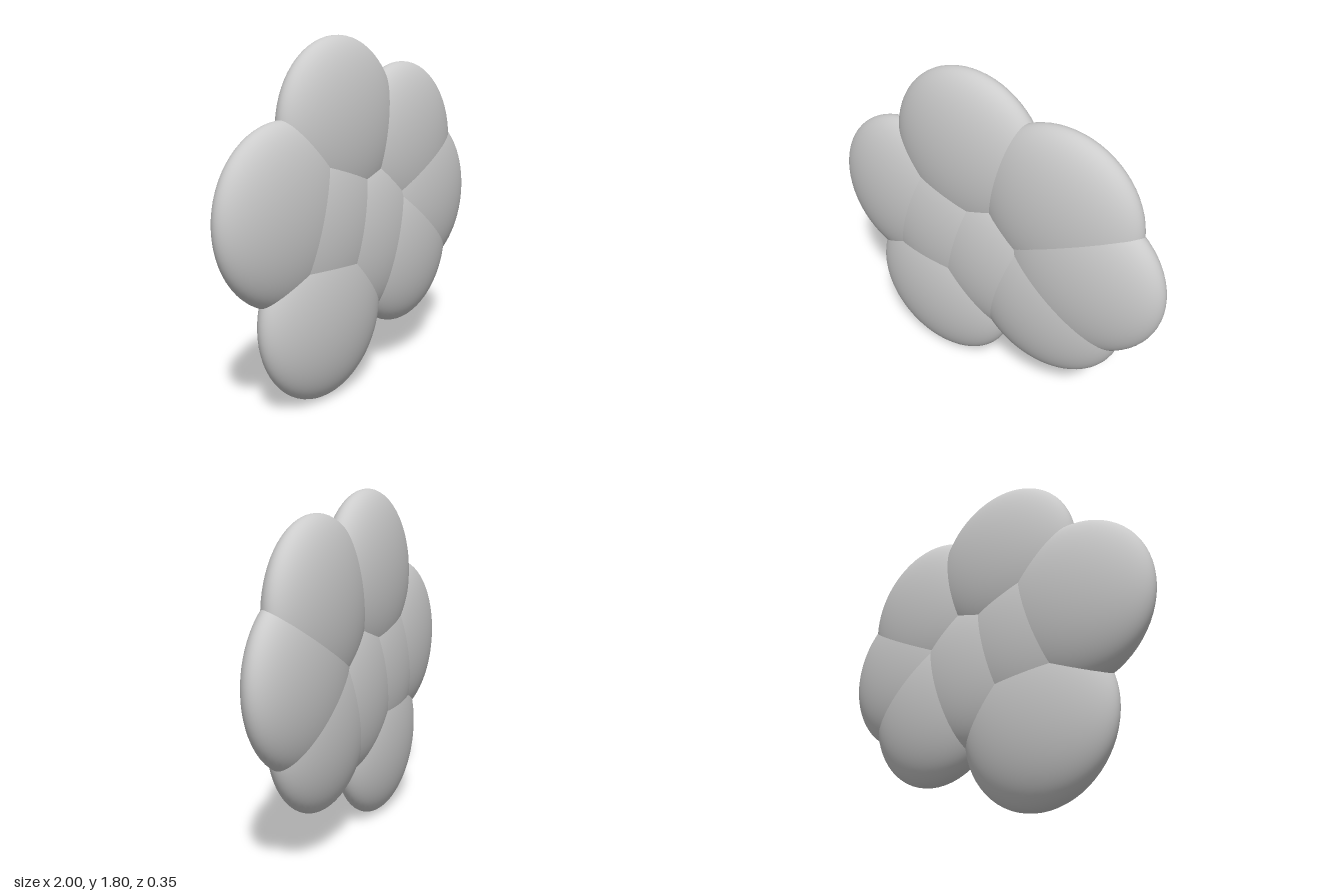
import * as THREE from 'three';

// Flat cluster of equal, overlapping flattened spheres: six outer lobes and two inner ones
const RADIUS = 0.445;
const DEPTH = 0.157;
const LOBES = [
  ['topLobe', -0.14, 1.36, -0.017],
  ['upperLeftLobe', 0.4, 1.237, 0.003],
  ['leftLobe', 0.553, 0.94, 0.016],
  ['lowerLeftLobe', 0.36, 0.684, 0.013],
  ['lowerRightLobe', -0.31, 0.45, 0.003],
  ['rightLobe', -0.555, 0.97, -0.018],
  ['innerRightLobe', -0.285, 0.88, -0.008],
  ['innerLeftLobe', 0.04, 0.79, 0],
];

export function createModel() {
  const group = new THREE.Group();
  group.name = 'lobeCluster';
  const material = new THREE.MeshStandardMaterial({ color: 0xcccccc });
  const geometry = new THREE.SphereGeometry(1, 64, 48);
  geometry.rotateX(Math.PI / 2); // poles face front and back
  geometry.scale(RADIUS, RADIUS, DEPTH);

  for (const [name, x, y, z] of LOBES) {
    const lobe = new THREE.Mesh(geometry, material);
    lobe.name = name;
    lobe.position.set(x, y, z);
    group.add(lobe);
  }
  return group;
}
